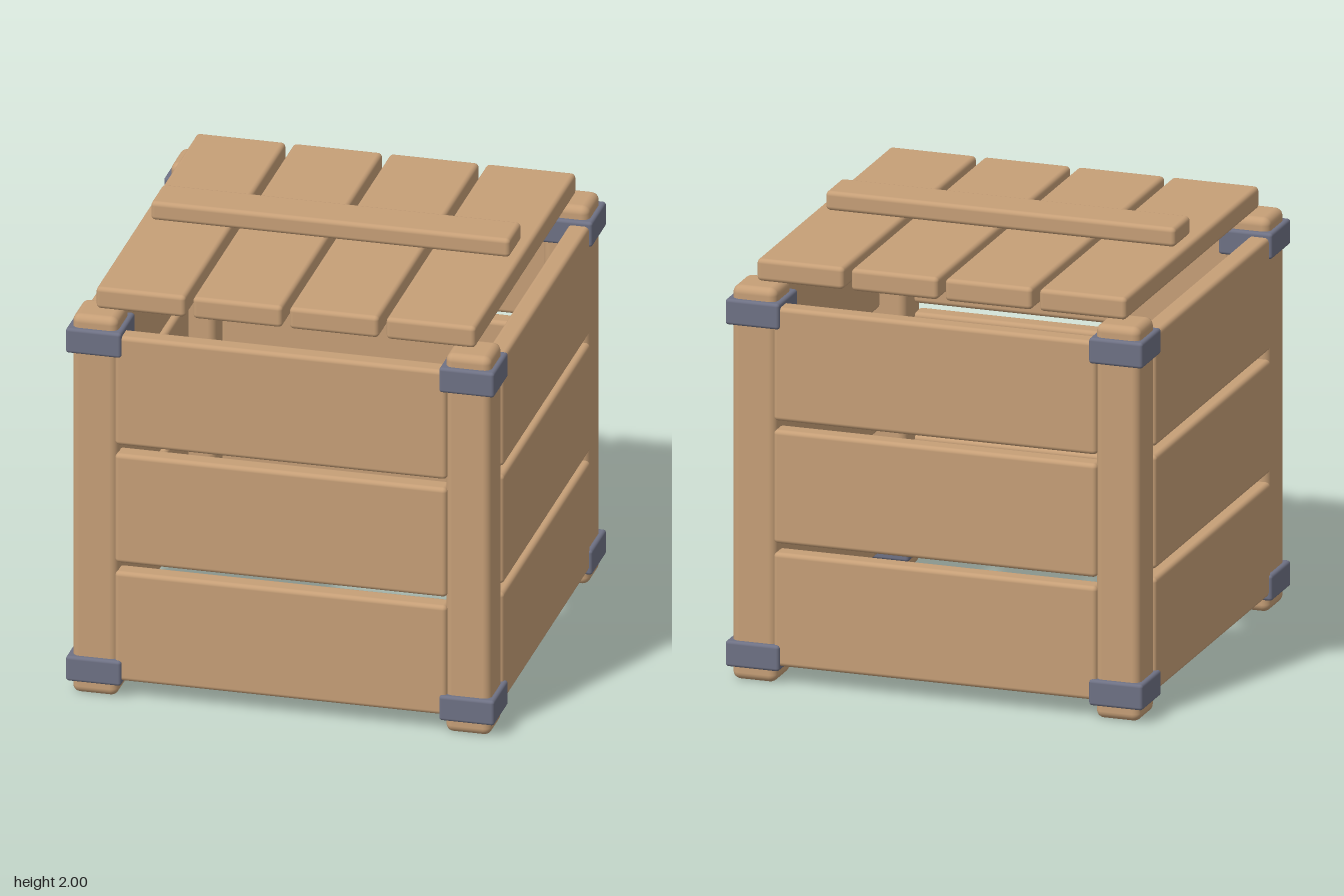
import * as THREE from 'three';
import { RoundedBoxGeometry } from 'three/addons/geometries/RoundedBoxGeometry.js';

const wood = new THREE.MeshStandardMaterial({ color: 0xc69f77 });
wood.name = 'wood';
const iron = new THREE.MeshStandardMaterial({ color: 0x6e7184 });
iron.name = 'iron';

// Rounded box given by its size and centre
function block(parent, name, material, [w, h, d], [x, y, z], radius) {
  const mesh = new THREE.Mesh(new RoundedBoxGeometry(w, h, d, 3, radius), material);
  mesh.name = name;
  mesh.position.set(x, y, z);
  parent.add(mesh);
}

export function createModel() {
  const crate = new THREE.Group();
  crate.name = 'crate';

  // Corner posts, each with a lower and an upper iron band
  for (const sx of [-1, 1]) {
    for (const sz of [-1, 1]) {
      const corner = new THREE.Group();
      corner.name = 'corner';
      corner.position.set(sx * 0.843, 0, sz * 0.843);
      block(corner, 'post', wood, [0.206, 1.805, 0.206], [0, 0.9025, 0], 0.035);
      for (const y of [0.122, 1.688]) {
        block(corner, 'band', iron, [0.25, 0.118, 0.25], [0, y, 0], 0.014);
      }
      crate.add(corner);
    }
  }

  // Four walls of three planks
  for (let side = 0; side < 4; side++) {
    const wall = new THREE.Group();
    wall.name = 'wall';
    wall.rotation.y = side * Math.PI / 2;
    for (const y of [0.343, 0.905, 1.467]) {
      block(wall, 'wallPlank', wood, [1.5, 0.52, 0.095], [0, y, 0.906], 0.02);
    }
    crate.add(wall);
  }

  // Lid boards joined by a cleat
  const lid = new THREE.Group();
  lid.name = 'lid';
  for (const x of [-0.655, -0.218, 0.218, 0.655]) {
    block(lid, 'lidBoard', wood, [0.404, 0.102, 1.738], [x, 1.862, 0], 0.02);
  }
  block(lid, 'lidCleat', wood, [1.622, 0.088, 0.208], [0, 1.956, 0], 0.02);
  crate.add(lid);

  return crate;
}
